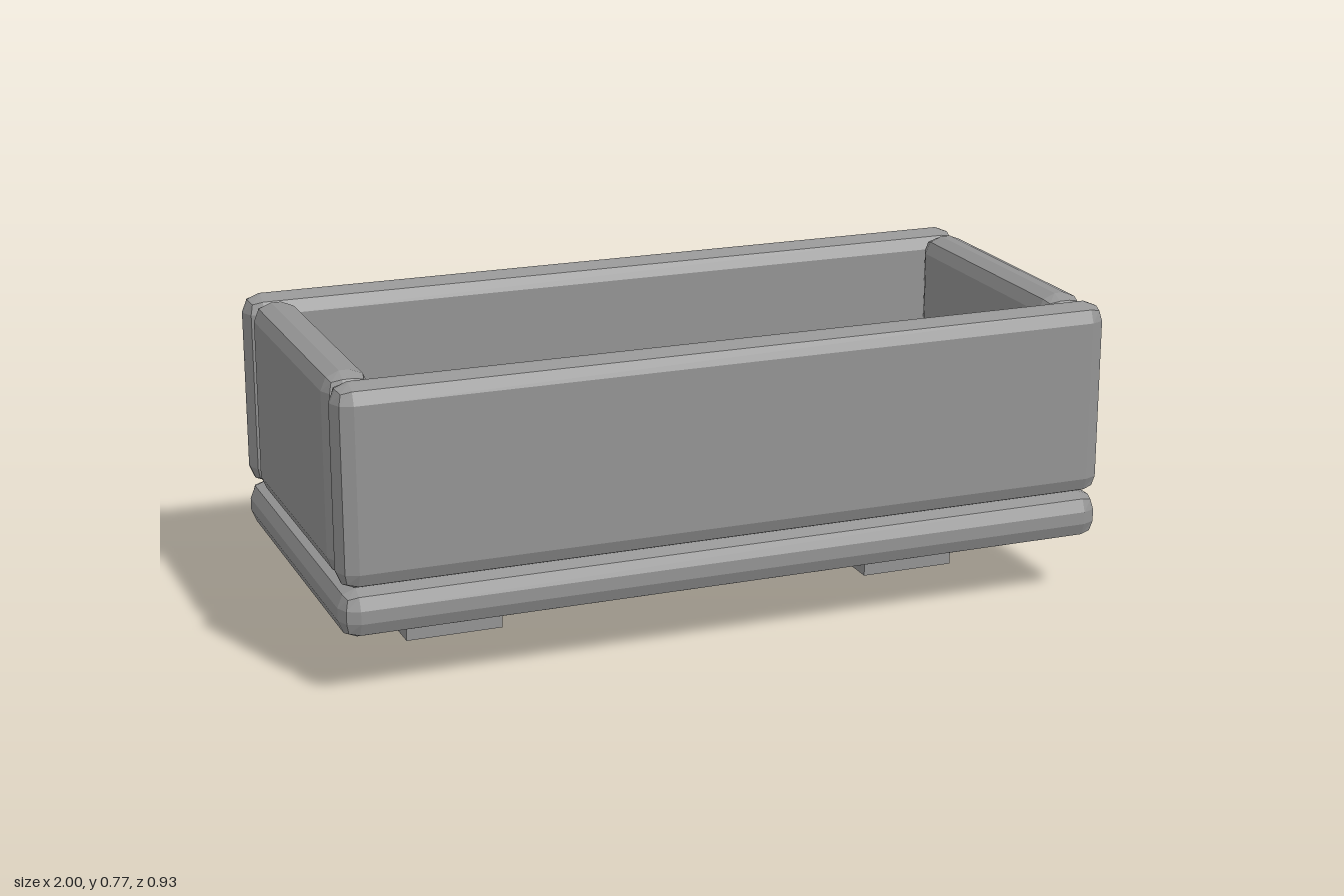
import * as THREE from 'three';
import { RoundedBoxGeometry } from 'three/addons/geometries/RoundedBoxGeometry.js';

const BEVEL = 0.045;

export function createModel() {
  const model = new THREE.Group();
  model.name = 'planterBox';

  const grey = new THREE.MeshStandardMaterial({ color: 0x949494, flatShading: true });
  grey.name = 'stone grey';

  const add = (name, geometry, x, y, z) => {
    const mesh = new THREE.Mesh(geometry, grey);
    mesh.name = name;
    mesh.position.set(x, y, z);
    model.add(mesh);
  };
  // Box with a two-step bevel on every edge
  const slab = (w, h, d) => new RoundedBoxGeometry(w, h, d, 1, BEVEL);

  // Base slab
  add('base', slab(2, 0.122, 0.934), 0, 0.214, 0);

  // Long walls, front and back
  add('frontWall', slab(2, 0.5, 0.102), 0, 0.525, 0.416);
  add('backWall', slab(2, 0.5, 0.102), 0, 0.525, -0.416);

  // End walls and feet, mirrored left and right
  for (const [side, s] of [['left', 1], ['right', -1]]) {
    add(side + 'Wall', slab(0.116, 0.5, 0.73), s * 0.936, 0.525, 0);
    add(side + 'Foot', new THREE.BoxGeometry(0.25, 0.16, 0.25), s * 0.625, 0.08, 0);
  }
  return model;
}
